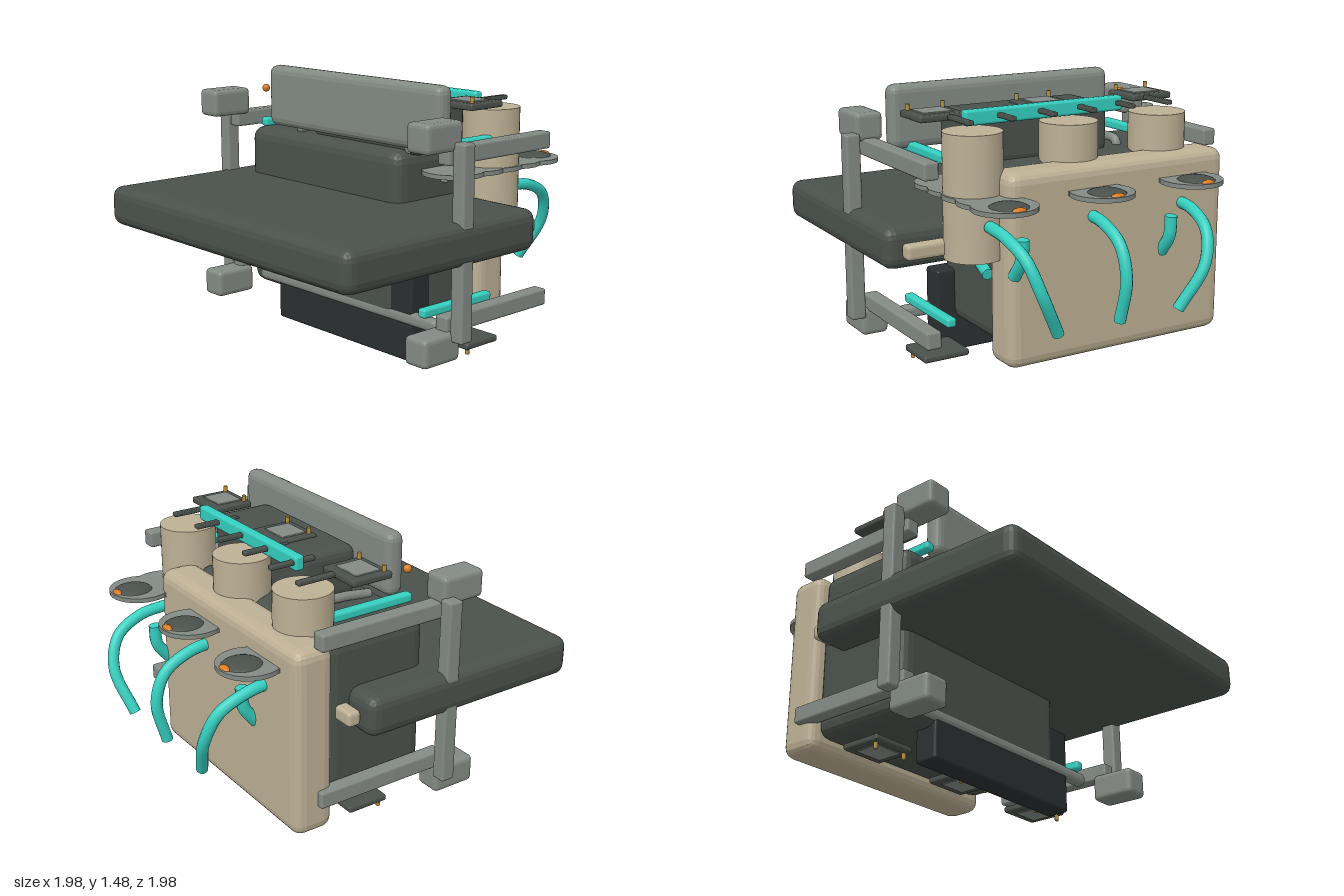
import * as THREE from 'three';
import { RoundedBoxGeometry } from 'three/addons/geometries/RoundedBoxGeometry.js';

const mat = (color, flatShading = false) => new THREE.MeshStandardMaterial({ color, flatShading });

export function createModel() {
  const model = new THREE.Group();
  const dark = mat(0x4a514c, true), black = mat(0x2a2f2f, true), grey = mat(0x838a84, true);
  const beige = mat(0xbdb094, true), beigeSmooth = mat(0xbdb094), greySmooth = mat(0x838a84);
  const darkSmooth = mat(0x4a514c), teal = mat(0x35cfc0), orange = mat(0xd97b20), gold = mat(0xb8903c);

  const add = (name, geometry, material, x = 0, y = 0, z = 0, parent = model) => {
    const mesh = new THREE.Mesh(geometry, material);
    mesh.name = name;
    mesh.position.set(x, y, z);
    parent.add(mesh);
    return mesh;
  };
  // Bevelled box given by its limits on each axis
  const box = (name, material, [x0, x1], [y0, y1], [z0, z1], bevel = 0.015, parent = model) =>
    add(name, new RoundedBoxGeometry(x1 - x0, y1 - y0, z1 - z0, 2, bevel), material,
      (x0 + x1) / 2, (y0 + y1) / 2, (z0 + z1) / 2, parent);
  // Smooth hose through points, closed at both ends
  const hose = (name, material, points, radius) => {
    const group = new THREE.Group();
    group.name = name;
    const path = new THREE.CatmullRomCurve3(points.map(p => new THREE.Vector3(...p)));
    add(name + 'Body', new THREE.TubeGeometry(path, 28, radius, 12), material, 0, 0, 0, group);
    for (const t of [0, 1]) {
      const cap = add(name + 'Cap', new THREE.CircleGeometry(radius, 12), material, 0, 0, 0, group);
      cap.position.copy(path.getPoint(t));
      cap.lookAt(cap.position.clone().addScaledVector(path.getTangent(t), t ? 1 : -1));
    }
    model.add(group);
  };

  // Main volumes
  box('tableSlab', dark, [-0.985, 0.99], [0.62, 0.84], [-0.33, 0.98], 0.06);
  box('mainBody', dark, [-0.8, 0.44], [0.18, 1.11], [-0.47, 0.14], 0.07);
  box('upperHousing', dark, [-0.34, 0.5], [1.08, 1.36], [-0.31, 0.05], 0.05);
  box('topPanel', grey, [-0.59, 0.76], [1.14, 1.48], [0.06, 0.165], 0.045);
  box('lowerPanel', black, [-0.55, 0.545], [0.005, 0.47], [0.0, 0.135], 0.015);
  box('lowerCrossbar', grey, [-0.72, 0.72], [0.205, 0.275], [0.075, 0.142], 0.025);
  box('backTank', beige, [-0.845, 0.485], [0.11, 1.12], [-0.67, -0.445], 0.06);
  box('sideAxle', beige, [-0.91, 0.91], [0.685, 0.765], [-0.41, -0.335], 0.02);

  // Side frames: post, rails and bumper blocks
  for (const s of [-1, 1]) {
    const span = (a, b) => (s > 0 ? [a, b] : [-b, -a]);
    const frame = new THREE.Group();
    frame.name = s > 0 ? 'leftFrame' : 'rightFrame';
    model.add(frame);
    box('post', grey, span(0.9, 0.98), [0.23, 1.23], [0.14, 0.22], 0.012, frame);
    for (const [y, blockY] of [[1.155, 1.26], [0.305, 0.2]]) {
      box('rail', grey, span(0.8, 0.88), [y - 0.045, y + 0.045], [-0.545, 0.22], 0.012, frame);
      box('bumperBlock', grey, span(0.765, 0.915), [blockY - 0.075, blockY + 0.075], [0.155, 0.405], 0.025, frame);
      box('guideRod', teal, span(0.613, 0.667), [y - 0.028, y + 0.022], [-0.35, 0.16], 0.015, frame);
    }
    hose('bentRod', greySmooth, [[s * 0.435, 0.91, -0.205], [s * 0.435, 1.06, -0.25],
      [s * 0.435, 1.13, -0.24], [s * 0.435, 1.14, -0.12], [s * 0.435, 1.12, 0.06]], 0.025);
    hose('shortHose', teal, [[s * 0.45, 0.81, -0.73], [s * 0.45, 0.7, -0.72], [s * 0.45, 0.6, -0.65]], 0.033);
  }

  // Repeated columns: canister, disc chain, rear disc, hose and pads
  for (const i of [-1, 0, 1]) {
    const x = i * 0.56;
    add('canister', new THREE.CylinderGeometry(0.152, 0.152, 0.64, 36), beigeSmooth, x, 0.99, -0.437);
    for (let k = 1; k <= 5; k++)
      add('linkDisc', new THREE.CylinderGeometry(0.165, 0.165, 0.024, 32), greySmooth, x, 0.99, -0.15 * k);
    const dial = add('rearDial', new THREE.SphereGeometry(1, 24, 12), darkSmooth, x, 0.99, -0.79);
    dial.scale.set(0.105, 0.034, 0.11);
    const tip = add('dialTip', new THREE.SphereGeometry(1, 14, 8), orange, x, 1.0, -0.885);
    tip.scale.set(0.04, 0.018, 0.022);
    hose('longHose', teal, [[x, 0.86, -0.6], [x, 0.84, -0.76], [x * 0.96, 0.76, -0.91],
      [x * 0.87, 0.6, -0.97], [x * 0.65, 0.37, -0.92]], 0.031);

    // Pads above and, flipped, below
    for (const s of [1, -1]) {
      const pad = new THREE.Group();
      pad.name = s > 0 ? 'upperPad' : 'lowerPad';
      pad.position.set(i * 0.64, 0.73 + s * 0.627, -0.172);
      model.add(pad);
      box('padFrame', dark, [-0.13, 0.13], [-0.018, 0.018], [-0.118, 0.118], 0.012, pad);
      box('padInset', grey, [-0.085, 0.085], [s * 0.018 - 0.006, s * 0.018 + 0.006], [-0.07, 0.08], 0.005, pad);
      for (const px of [-0.1, 0.1])
        add('padPin', new THREE.CylinderGeometry(0.011, 0.011, 0.045, 10), gold, px, s * 0.028, 0.085, pad);
    }
  }

  // Top bar with its clips
  box('topBar', teal, [-0.39, 0.56], [1.315, 1.395], [-0.365, -0.31], 0.015);
  for (let k = 0; k < 6; k++) {
    const x = -0.6 + k * 0.24;
    box('clip', dark, [x - 0.018, x + 0.018], [1.345, 1.37], [-0.5, -0.235], 0.008);
  }

  // Small fittings
  hose('sideHose', teal, [[0.43, 0.64, -0.2], [0.47, 0.605, -0.33], [0.5, 0.575, -0.475]], 0.03);
  add('signalBead', new THREE.SphereGeometry(0.022, 16, 10), orange, -0.7, 1.335, 0.09);

  return model;
}
